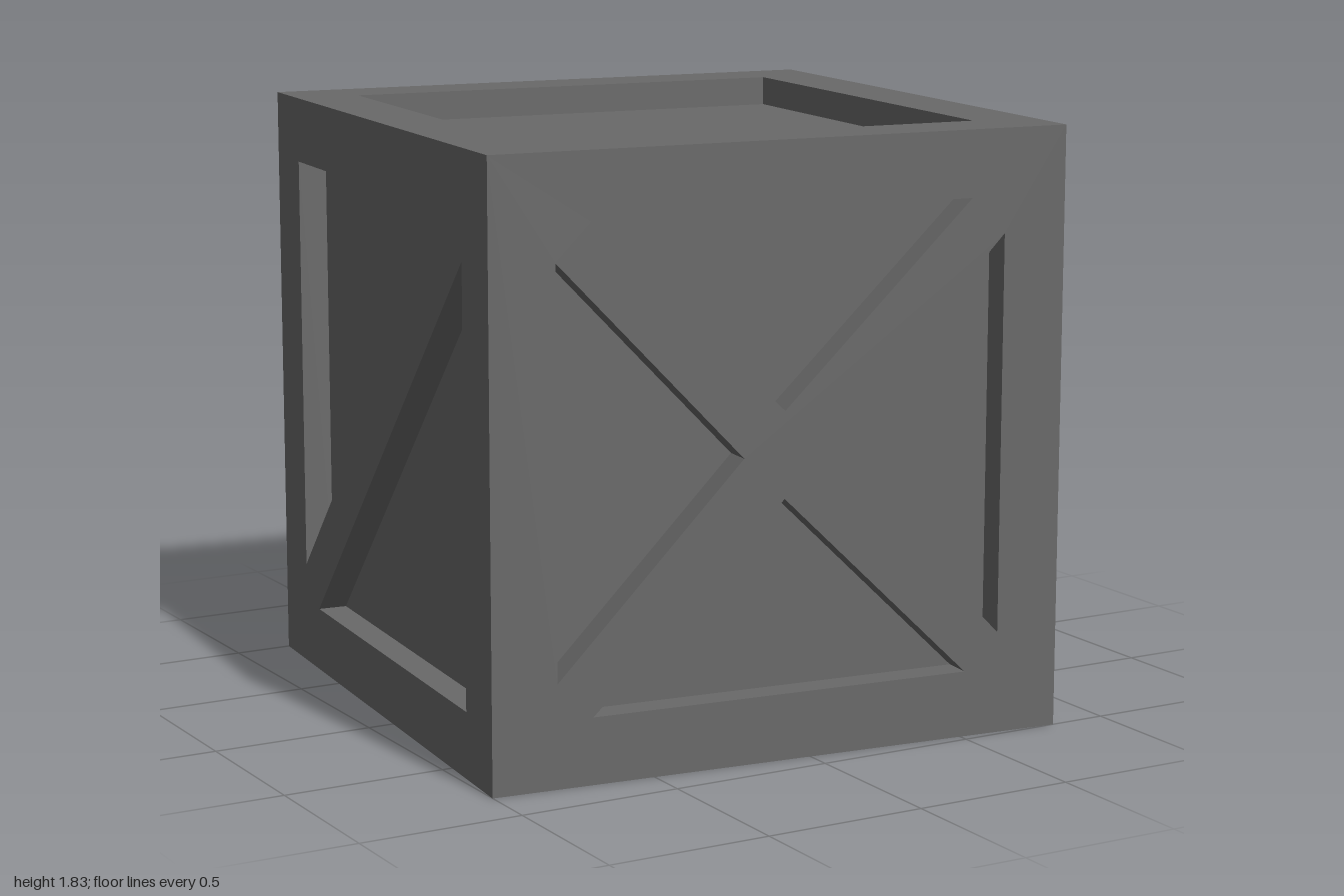
import * as THREE from 'three';

const HALF = 0.915;    // half the crate's edge length
const OPEN = 0.714;    // half the opening inside each frame
const DEPTH = 0.09;    // how far the panels are set back
const CORNER = 0.604;  // cross-braced recess: triangle corner
const APEX = 0.13;     // cross-braced recess: triangle tip
const DIAG = 0.593;    // single-braced recess: triangle corner

const square = (h) => [[-h, -h], [h, -h], [h, h], [-h, h]];
const toPoints = (list) => list.map(([x, y]) => new THREE.Vector2(x, y));

// Recess outlines, counter-clockwise seen from outside
const plainRecess = [square(OPEN)];
const crossRecesses = [0, 1, 2, 3].map((k) => {
  const c = [1, 0, -1, 0][k], s = [0, 1, 0, -1][k];
  return [[-CORNER, -OPEN], [CORNER, -OPEN], [0, -APEX]]
    .map(([x, y]) => [x * c - y * s, x * s + y * c]);
});
const diagonalRecesses = [
  [[-OPEN, -OPEN], [DIAG, -OPEN], [-OPEN, DIAG]],
  [[OPEN, OPEN], [-DIAG, OPEN], [OPEN, -DIAG]],
];
// The opposite side's brace leans the other way
const mirroredRecesses = diagonalRecesses.map((r) => r.map(([x, y]) => [-x, y]).reverse());

// Walls running from the frame surface down to the panel
function wallGeometry(recesses) {
  const pos = [];
  for (const r of recesses) {
    r.forEach(([ax, ay], i) => {
      const [bx, by] = r[(i + 1) % r.length];
      pos.push(ax, ay, 0, bx, by, 0, bx, by, -DEPTH);
      pos.push(ax, ay, 0, bx, by, -DEPTH, ax, ay, -DEPTH);
    });
  }
  const geo = new THREE.BufferGeometry();
  geo.setAttribute('position', new THREE.Float32BufferAttribute(pos, 3));
  geo.computeVertexNormals();
  return geo;
}

// One side of the crate, built facing +z
function crateFace(name, recesses, material) {
  const group = new THREE.Group();
  group.name = name;
  const add = (part, geo, z = 0) => {
    const mesh = new THREE.Mesh(geo, material);
    mesh.name = part;
    mesh.position.z = HALF + z;
    group.add(mesh);
  };
  const frame = new THREE.Shape(toPoints(square(HALF)));
  frame.holes = recesses.map((r) => new THREE.Path(toPoints(r)));
  add('frame', new THREE.ShapeGeometry(frame));
  add('recessWalls', wallGeometry(recesses));
  add('panel', new THREE.ShapeGeometry(recesses.map((r) => new THREE.Shape(toPoints(r)))), -DEPTH);
  return group;
}

export function createModel() {
  const grey = new THREE.MeshStandardMaterial({ color: 0x696969 });
  grey.name = 'crateGrey';

  const model = new THREE.Group();
  model.name = 'crate';
  const q = Math.PI / 2;
  const faces = [
    ['frontFace', crossRecesses, 0, 0],
    ['backFace', crossRecesses, 0, 2 * q],
    ['leftFace', diagonalRecesses, 0, q],
    ['rightFace', mirroredRecesses, 0, -q],
    ['topFace', plainRecess, -q, 0],
    ['bottomFace', plainRecess, q, 0],
  ];
  const body = new THREE.Group();
  body.name = 'crateBody';
  for (const [name, recesses, rx, ry] of faces) {
    const face = crateFace(name, recesses, grey);
    face.rotation.set(rx, ry, 0);
    body.add(face);
  }
  // The crate stands slightly turned
  body.position.y = HALF;
  body.rotation.y = -0.0985;
  model.add(body);
  return model;
}
